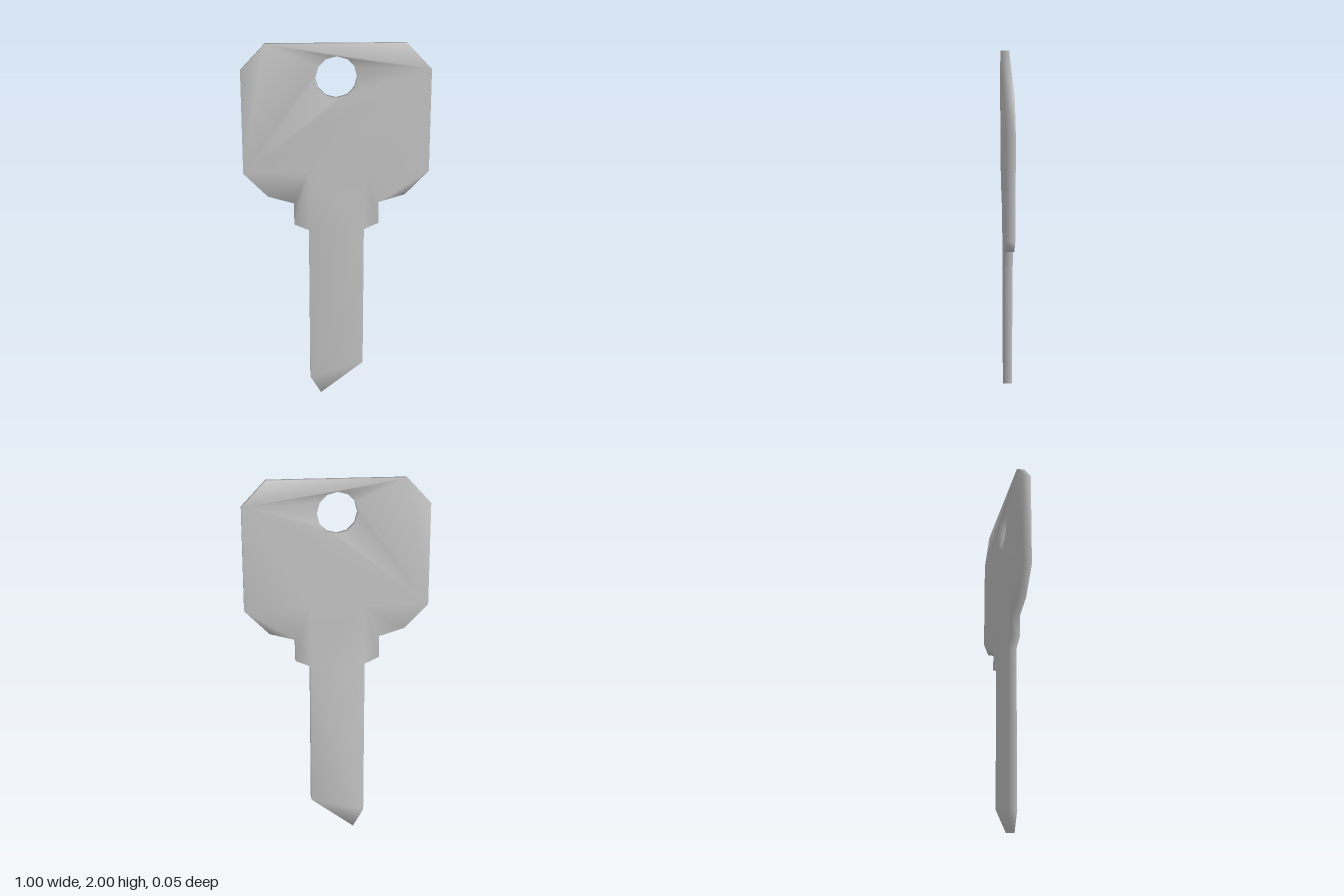
import * as THREE from 'three';
import { mergeGeometries, mergeVertices } from 'three/addons/utils/BufferGeometryUtils.js';

const HALF = 0.0225; // half of the plate thickness

const points = (list) => list.map(([x, y]) => new THREE.Vector2(x, y));
const mirror = (list) => list.map(([x, y]) => [-x, y]).reverse();

// Flat panel at the front (side = 1) or the back (side = -1) of the plate
function panel(list, side, hole) {
  const shape = new THREE.Shape(points(list));
  if (hole) shape.holes.push(new THREE.Path(points(hole)));
  const geo = new THREE.ShapeGeometry(shape);
  geo.translate(0, 0, side * HALF);
  if (side < 0) geo.index.array.reverse();
  return geo;
}

// Rim wall along a closed loop; counter-clockwise loops face outward
function rim(loop) {
  const pos = [];
  const index = [];
  loop.forEach(([x, y], i) => {
    const a = 2 * i;
    const b = 2 * ((i + 1) % loop.length);
    pos.push(x, y, -HALF, x, y, HALF);
    index.push(a, b, b + 1, a, b + 1, a + 1);
  });
  const geo = new THREE.BufferGeometry();
  geo.setAttribute('position', new THREE.Float32BufferAttribute(pos, 3));
  geo.setIndex(index);
  return geo;
}

export function createModel() {
  // Right half of each region, bottom to top
  const shoulder = [[0.15, 0.99], [0.23, 1.025], [0.23, 1.145], [0.37, 1.185], [0.5, 1.315]];
  const crown = [[0.5, 1.865], [0.37, 2]];
  const tip = [[-0.15, 0.1], [-0.09, 0], [0.15, 0.185]];
  const inner = [0.15, 1.315];

  // Keyring hole, twelve sides, clockwise
  const hole = Array.from({ length: 12 }, (_, i) => {
    const t = (-i * Math.PI) / 6;
    return [0.11 * Math.cos(t), 1.825 + 0.11 * Math.sin(t)];
  });

  const outline = [...tip, ...shoulder, ...crown, ...mirror(crown), ...mirror(shoulder)];

  // Face panels: blade, neck, two shoulders and the bow around the hole
  const neckBase = shoulder[0];
  const side = [...shoulder, inner];
  const bow = [inner, shoulder[4], ...crown];
  const parts = [rim(outline), rim(hole)];
  for (const s of [1, -1]) {
    parts.push(
      panel([...tip, neckBase, [-0.15, 0.99]], s),
      panel([neckBase, inner, ...mirror([neckBase, inner])], s),
      panel(side, s),
      panel(mirror(side), s),
      panel([...bow, ...mirror(bow)], s, hole)
    );
  }

  // Weld everything so the shading runs softly over the edges
  for (const geo of parts) {
    geo.deleteAttribute('normal');
    geo.deleteAttribute('uv');
  }
  const geometry = mergeVertices(mergeGeometries(parts), 1e-4);
  geometry.computeVertexNormals();

  const key = new THREE.Mesh(geometry, new THREE.MeshStandardMaterial({ color: 0xcccccc }));
  key.name = 'keyBlank';
  const group = new THREE.Group();
  group.name = 'key';
  group.add(key);
  return group;
}
